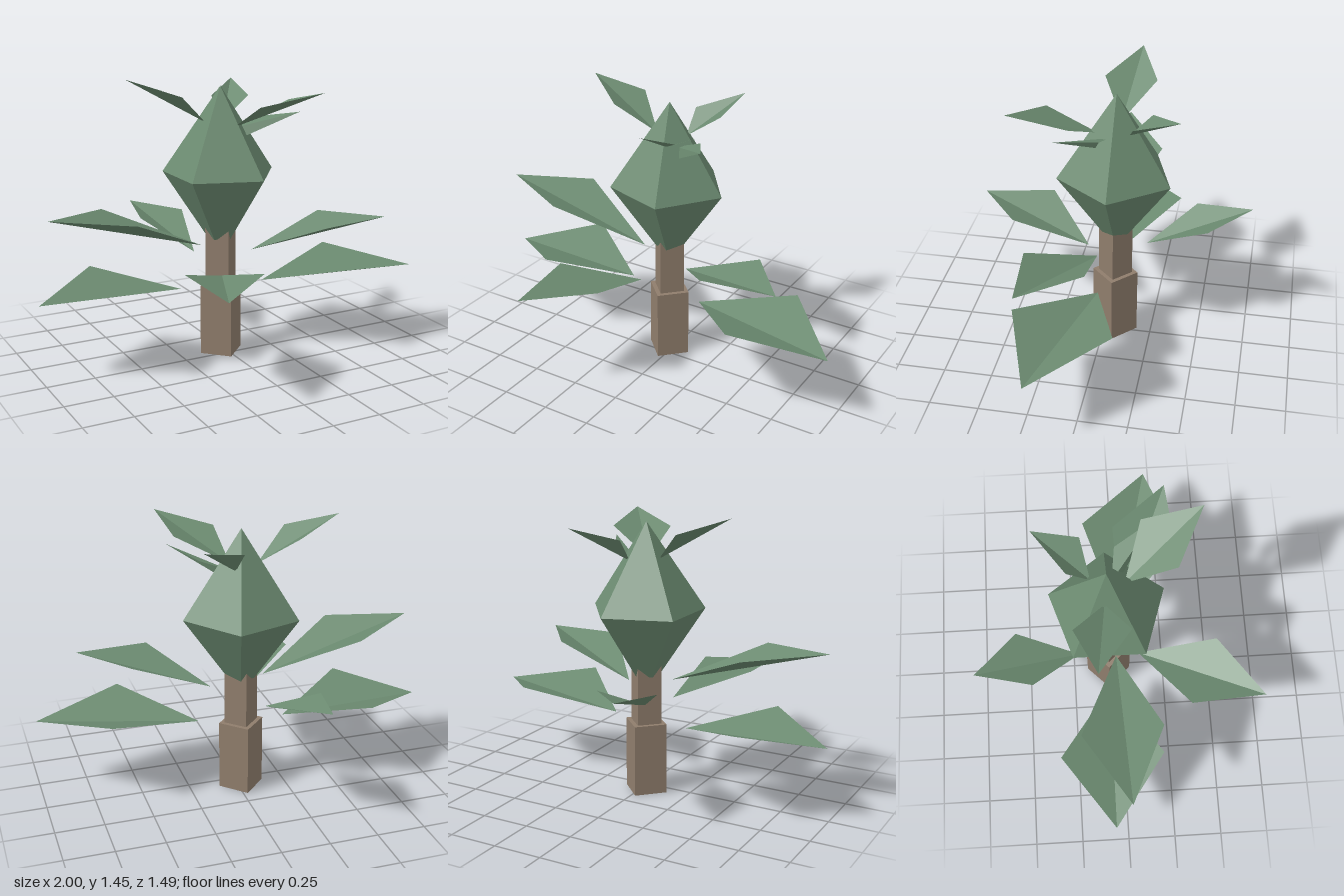
import * as THREE from 'three';

const bark = new THREE.MeshStandardMaterial({ color: 0x8f7d6c, flatShading: true });
const green = new THREE.MeshStandardMaterial({ color: 0x6b8a70, flatShading: true });
const leafGreen = green.clone();
leafGreen.side = THREE.DoubleSide;

const AXIS_X = -0.022, AXIS_Z = -0.056;

function add(group, name, geometry, material) {
  const mesh = new THREE.Mesh(geometry, material);
  mesh.name = name;
  group.add(mesh);
  return mesh;
}

// Square post standing corner-forward
function post(radius, bottom, top) {
  return new THREE.CylinderGeometry(radius, radius, top - bottom, 4)
    .translate(AXIS_X, (bottom + top) / 2, AXIS_Z);
}

// Kite folded along the rib from base to tip
function leaf(base, sideA, tip, sideB) {
  const g = new THREE.BufferGeometry();
  const corners = [base, sideA, tip, base, tip, sideB].flat();
  g.setAttribute('position', new THREE.Float32BufferAttribute(corners, 3));
  g.computeVertexNormals();
  return g;
}

export function createModel() {
  const model = new THREE.Group();
  model.name = 'plant';

  // Trunk in two steps
  add(model, 'lowerTrunk', post(0.118, 0, 0.37), bark);
  add(model, 'upperTrunk', post(0.088, 0.37, 0.7), bark);

  // Five-sided crown bulb
  const profile = [[0, 0.62], [0.07, 0.62], [0.3, 0.957], [0, 1.4]]
    .map(([r, y]) => new THREE.Vector2(r, y));
  const bulb = new THREE.LatheGeometry(profile, 5, Math.PI / 2);
  add(model, 'crownBulb', bulb.translate(AXIS_X, 0, AXIS_Z), green);

  // Leaves: base, first side, tip, second side
  const leaves = {
    lowLeftLeaf: [[0.19, 0.37, 0.0], [0.54, 0.475, 0.36], [1.0, 0.395, 0.2], [0.67, 0.475, -0.16]],
    midLeftLeaf: [[0.12, 0.55, 0.015], [0.38, 0.705, 0.33], [0.76, 0.712, 0.29], [0.53, 0.71, 0.0]],
    lowRightLeaf: [[-0.25, 0.37, -0.06], [-0.64, 0.475, -0.33], [-1.0, 0.395, -0.065], [-0.64, 0.475, 0.2]],
    midRightLeaf: [[-0.15, 0.6, -0.02], [-0.61, 0.8, -0.215], [-0.965, 0.83, 0.015], [-0.58, 0.8, 0.19]],
    backLeaf: [[-0.1, 0.51, -0.21], [-0.02, 0.66, -0.53], [-0.24, 0.69, -0.745], [-0.3, 0.66, -0.45]],
    frontLeaf: [[-0.095, 0.465, 0.1], [-0.42, 0.585, 0.355], [-0.39, 0.56, 0.74], [-0.08, 0.585, 0.51]],
    topRightLeaf: [[-0.1, 1.22, -0.07], [-0.27, 1.37, -0.22], [-0.505, 1.45, -0.115], [-0.28, 1.37, 0.045]],
    topBackLeaf: [[0.03, 1.21, -0.13], [0.2, 1.325, -0.17], [0.215, 1.39, -0.395], [0.02, 1.325, -0.24]],
    topFrontLeaf: [[0.01, 1.2, 0.03], [0.02, 1.33, 0.28], [0.295, 1.4, 0.415], [0.27, 1.335, 0.12]],
    smallTopLeaf: [[0.03, 1.185, -0.03], [0.085, 1.155, 0.03], [0.295, 1.28, 0.19], [0.18, 1.24, -0.01]],
  };
  for (const [name, points] of Object.entries(leaves)) {
    add(model, name, leaf(...points), leafGreen);
  }
  return model;
}
